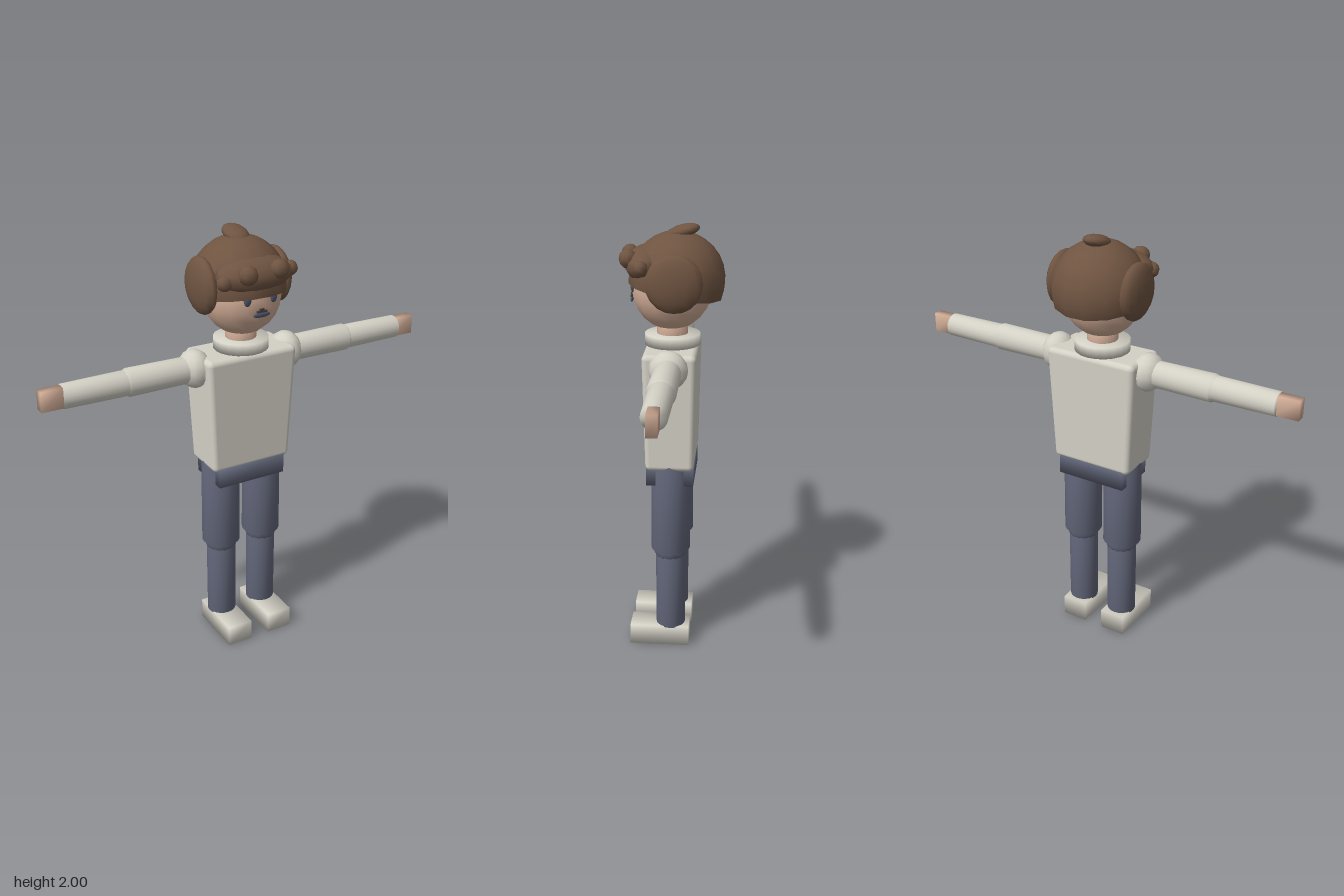
import * as THREE from 'three';
import { mergeVertices } from 'three/addons/utils/BufferGeometryUtils.js';
import { RoundedBoxGeometry } from 'three/addons/geometries/RoundedBoxGeometry.js';

const material = (name, color, side = THREE.FrontSide) => {
  const m = new THREE.MeshStandardMaterial({ color, side });
  m.name = name;
  return m;
};

// Weld all corners so shading runs softly over the edges
function soften(geometry) {
  geometry.deleteAttribute('uv');
  geometry.deleteAttribute('normal');
  const g = mergeVertices(geometry, 1e-4);
  g.computeVertexNormals();
  return g;
}

export function createModel() {
  const model = new THREE.Group();
  model.name = 'figure';
  const skin = material('skin', 0xd3ae98);
  const hair = material('brown hair', 0x6f5441, THREE.DoubleSide);
  const cloth = material('cream cloth', 0xd3d0c5);
  const trousers = material('slate trousers', 0x626679);
  const blue = material('eye blue', 0x4c566e);
  const dark = material('dark brown', 0x4a4039);

  const add = (name, geometry, mat, x, y, z, parent = model) => {
    const mesh = new THREE.Mesh(geometry, mat);
    mesh.name = name;
    mesh.position.set(x, y, z);
    parent.add(mesh);
    return mesh;
  };
  const ball = (name, mat, [x, y, z], [rx, ry, rz], w = 16, h = 12, parent = model) =>
    add(name, new THREE.SphereGeometry(1, w, h).scale(rx, ry, rz), mat, x, y, z, parent);
  const tube = (top, bottom, height) => soften(new THREE.CylinderGeometry(top, bottom, height, 20));
  const block = (w, h, d) => soften(new THREE.BoxGeometry(w, h, d));

  // Torso: rounded box narrowing towards the waist
  const torso = new RoundedBoxGeometry(0.45, 0.55, 0.24, 3, 0.025);
  const p = torso.attributes.position;
  for (let i = 0; i < p.count; i++) {
    const t = 0.5 - p.getY(i) / 0.55;
    p.setX(i, p.getX(i) * (1 - 0.12 * t));
    p.setZ(i, p.getZ(i) * (1 - 0.09 * t));
  }
  add('torso', torso, cloth, 0, 1.187, 0);
  add('collar', tube(0.125, 0.125, 0.05), cloth, 0, 1.487, 0);
  add('neck', tube(0.07, 0.07, 0.12), skin, 0, 1.51, 0);
  add('pelvis', block(0.34, 0.1, 0.215), trousers, 0, 0.883, 0);

  // Arms and legs, one set per side
  for (const s of [1, -1]) {
    const side = s > 0 ? 'left' : 'right';
    const arm = new THREE.Group();
    arm.name = side + 'Arm';
    arm.position.set(0, 1.403, 0);
    model.add(arm);
    ball('shoulder', cloth, [s * 0.235, 0, 0], [0.075, 0.087, 0.087], 12, 8, arm);
    const upper = add('upperArm', tube(0.063, 0.06, 0.33), cloth, s * 0.39, 0, 0, arm);
    ball('elbow', cloth, [s * 0.55, 0, 0], [0.06, 0.06, 0.06], 14, 10, arm);
    const lower = add('forearm', tube(0.054, 0.057, 0.3), cloth, s * 0.7, 0, 0, arm);
    upper.rotation.z = lower.rotation.z = -s * Math.PI / 2;
    add('hand', block(0.11, 0.09, 0.045), skin, s * 0.895, 0, 0, arm);

    const leg = new THREE.Group();
    leg.name = side + 'Leg';
    leg.position.x = s * 0.11;
    model.add(leg);
    add('thigh', tube(0.089, 0.091, 0.44), trousers, 0, 0.72, 0, leg);
    ball('knee', trousers, [0, 0.5, 0], [0.08, 0.08, 0.08], 14, 10, leg);
    add('calf', tube(0.07, 0.069, 0.42), trousers, 0, 0.305, 0, leg);
    add('foot', block(0.125, 0.1, 0.28), cloth, 0, 0.05, 0.05, leg);
  }

  // Head and face
  ball('head', skin, [0, 1.72, 0.003], [0.18, 0.19, 0.18], 16, 12);
  for (const s of [1, -1]) ball('eye', blue, [s * 0.063, 1.733, 0.168], [0.018, 0.028, 0.012], 12, 8);
  ball('mouth', blue, [0, 1.664, 0.18], [0.042, 0.012, 0.006], 12, 8);
  add('lipShadow', new THREE.BoxGeometry(0.05, 0.008, 0.009), dark, 0, 1.679, 0.181);
  add('noseTip', new THREE.BoxGeometry(0.02, 0.012, 0.009), dark, 0, 1.686, 0.181);

  // Hair: tilted cap, side puffs, fringe with curls, small topknot
  const cap = add('hairCap', new THREE.SphereGeometry(0.216, 14, 8, 0, Math.PI * 2, 0, 1.78), hair, 0, 1.75, -0.02);
  cap.rotation.x = -0.17;
  for (const s of [1, -1]) ball('sidePuff', hair, [s * 0.183, 1.767, -0.02], [0.048, 0.127, 0.127], 14, 10);
  const fringe = ball('fringe', hair, [0, 1.828, 0.115], [0.185, 0.075, 0.095], 14, 8);
  fringe.rotation.x = 0.25;
  const curls = [[-0.075, 1.85, 0.195], [0.08, 1.855, 0.187], [-0.16, 1.815, 0.145], [0.172, 1.83, 0.125]];
  for (const [i, c] of curls.entries()) {
    const r = i < 2 ? 0.045 : 0.036;
    ball('curl', hair, c, [r, r * 0.95, r * 0.9], 8, 6);
  }
  const knot = ball('topknot', hair, [0, 1.965, -0.045], [0.056, 0.028, 0.077], 12, 8);
  knot.rotation.x = 0.25;
  return model;
}
